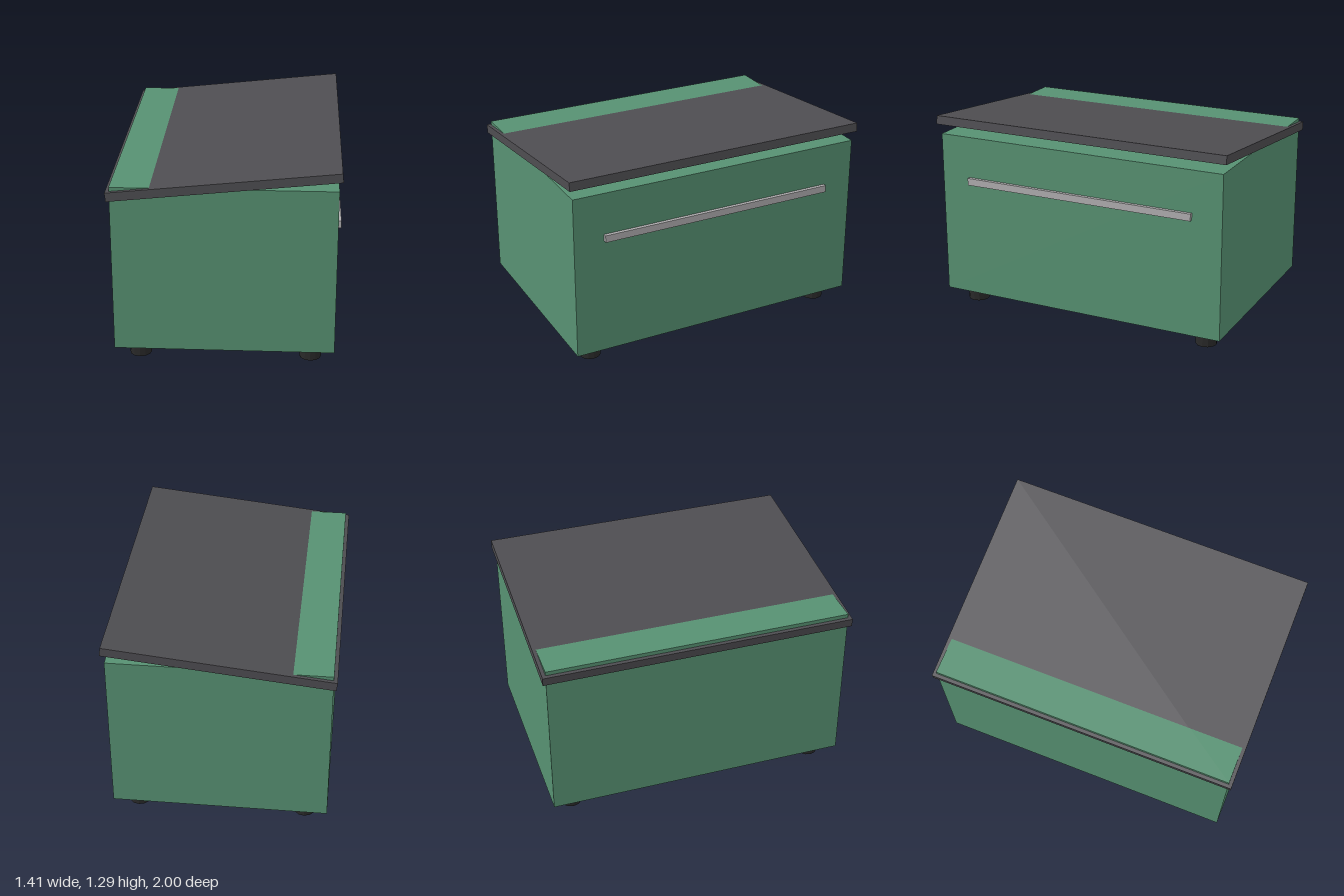
import * as THREE from 'three';

export function createModel() {
  const group = new THREE.Group();
  const material = (name, color) => {
    const m = new THREE.MeshStandardMaterial({ color });
    m.name = name;
    return m;
  };
  const green = material('green', 0x579172);
  const darkGrey = material('darkGrey', 0x4e4d51);
  const silver = material('silver', 0xb0aeb0);
  const black = material('black', 0x292929);

  const add = (name, geometry, mat, x, y, z) => {
    const mesh = new THREE.Mesh(geometry, mat);
    mesh.name = name;
    mesh.position.set(x, y, z);
    group.add(mesh);
    return mesh;
  };

  // Main box
  add('body', new THREE.BoxGeometry(1.364, 1.073, 1.954), green, 0, 0.6365, 0);

  // Tilted lid, sunk into the body on the hinge side
  const lid = add('lid', new THREE.BoxGeometry(1.41, 0.056, 2), darkGrey, -0.001, 1.192, 0);
  lid.rotation.z = THREE.MathUtils.degToRad(6.1);

  // Long handle bar on the opening side
  add('handle', new THREE.BoxGeometry(0.024, 0.046, 1.56), silver, 0.693, 0.88, 0);

  // Four short round feet
  const foot = new THREE.CylinderGeometry(0.068, 0.068, 0.1, 12).toNonIndexed();
  foot.computeVertexNormals();
  for (const x of [-0.535, 0.535])
    for (const z of [-0.833, 0.833]) add('foot', foot, black, x, 0.05, z);

  return group;
}
